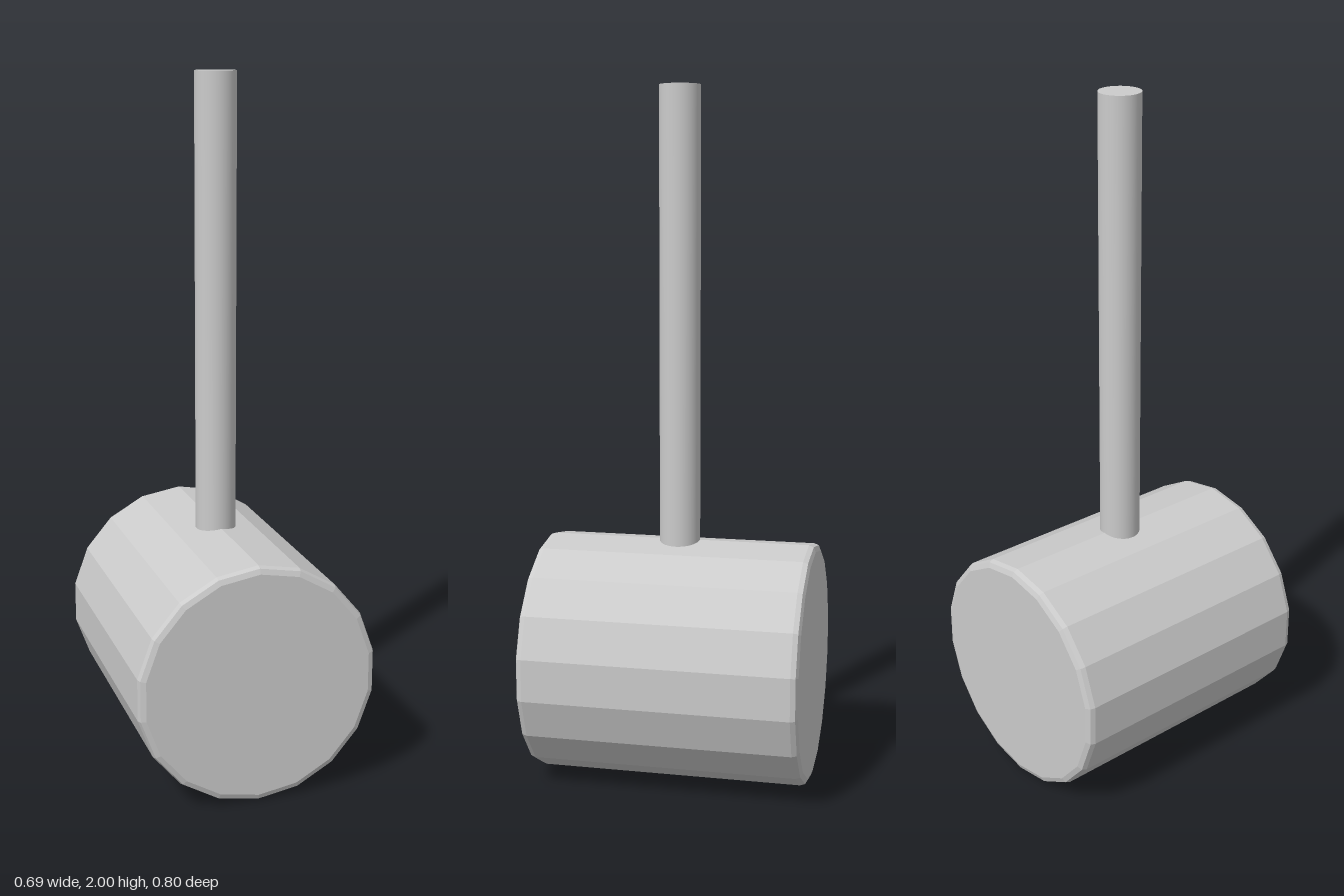
import * as THREE from 'three';

export function createModel() {
  const model = new THREE.Group();
  model.name = 'mallet';

  // Head: 18-sided barrel lying along z, with softly bevelled ends
  const edge = [[0, 0.4], [0.33, 0.4], [0.345, 0.394], [0.35, 0.38]];
  const profile = [
    ...edge.map(([r, h]) => new THREE.Vector2(r, -h)),
    ...edge.slice().reverse().map(([r, h]) => new THREE.Vector2(r, h)),
  ];
  const head = new THREE.Mesh(
    new THREE.LatheGeometry(profile, 18).rotateX(Math.PI / 2),
    new THREE.MeshStandardMaterial({ color: 0xcccccc, flatShading: true })
  );
  head.name = 'head';
  head.position.y = 0.35;
  model.add(head);

  // Handle: smooth round rod rising from inside the head
  const bottom = 0.6, top = 2;
  const handle = new THREE.Mesh(
    new THREE.CylinderGeometry(0.059, 0.059, top - bottom, 32),
    new THREE.MeshStandardMaterial({ color: 0xcccccc })
  );
  handle.name = 'handle';
  handle.position.y = (top + bottom) / 2;
  model.add(handle);

  return model;
}
